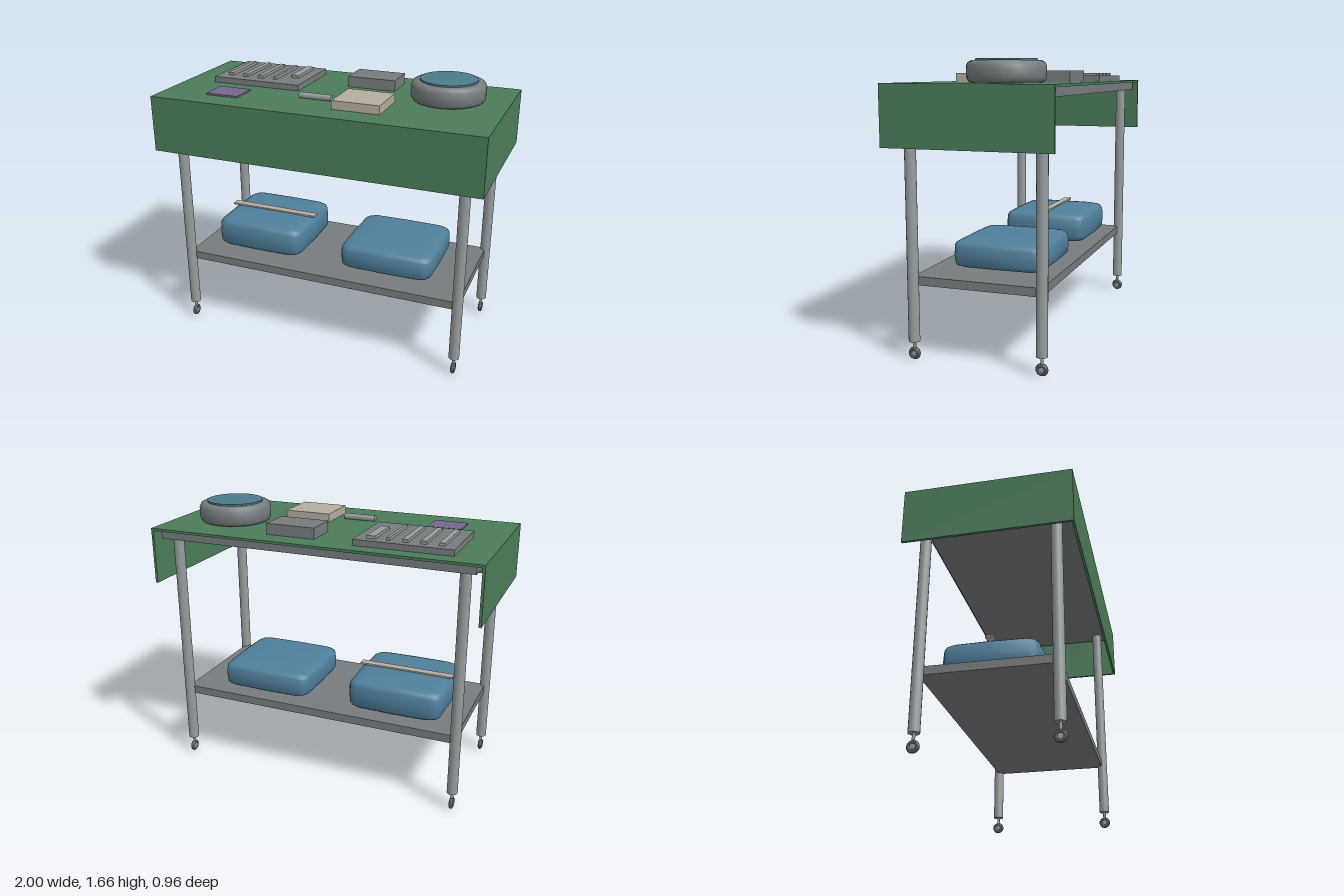
import * as THREE from 'three';
import { toCreasedNormals } from 'three/addons/utils/BufferGeometryUtils.js';

const mat = (color) => new THREE.MeshStandardMaterial({ color });
const GREEN = mat(0x4c7c58), STEEL = mat(0x969c9c), GREY = mat(0x777c7e), DARK = mat(0x505456);
const BLUE = mat(0x4f7f9b), TEAL = mat(0x4b7a8c), BEIGE = mat(0xb5ad9f), PURPLE = mat(0x75688a);

export function createModel() {
  const model = new THREE.Group();

  const add = (name, geometry, material, x = 0, y = 0, z = 0, parent = model) => {
    const mesh = new THREE.Mesh(geometry, material);
    mesh.name = name;
    mesh.position.set(x, y, z);
    parent.add(mesh);
    return mesh;
  };

  // Box given by its limits on each axis
  const slab = (name, material, x0, x1, y0, y1, z0, z1, parent) =>
    add(name, new THREE.BoxGeometry(x1 - x0, y1 - y0, z1 - z0), material,
      (x0 + x1) / 2, (y0 + y1) / 2, (z0 + z1) / 2, parent);

  // Sphere pushed out towards a box: a soft packed bag
  const cushion = (w, h, d) => {
    const g = new THREE.SphereGeometry(1, 16, 12);
    const p = g.attributes.position;
    const push = (v, e) => (Math.abs(v) < 1e-6 ? 0 : Math.sign(v) * Math.abs(v) ** e);
    for (let i = 0; i < p.count; i++) {
      const y = p.getY(i), r = Math.hypot(p.getX(i), p.getZ(i));
      const ring = push(r, 0.3);
      const cx = r > 1e-6 ? p.getX(i) / r : 0, cz = r > 1e-6 ? p.getZ(i) / r : 0;
      p.setXYZ(i, ring * push(cx, 0.25) * w / 2, push(y, 0.4) * h / 2, ring * push(cz, 0.25) * d / 2);
    }
    return toCreasedNormals(g, 0.7);
  };

  // Table top and cloth, hanging at the front and both sides, open at the back
  slab('tableTop', GREY, -0.95, 0.95, 1.462, 1.512, -0.45, 0.44);
  const cloth = new THREE.Group();
  cloth.name = 'tablecloth';
  model.add(cloth);
  slab('clothTop', GREEN, -1, 1, 1.512, 1.527, -0.481, 0.481, cloth);
  slab('clothFront', GREEN, -0.985, 0.985, 1.19, 1.512, 0.466, 0.481, cloth);
  for (const s of [-1, 1]) {
    add('clothSide', new THREE.BoxGeometry(0.015, 0.322, 0.962), GREEN, s * 0.9925, 1.351, 0, cloth);
  }

  // Lower shelf
  slab('shelf', GREY, -0.88, 0.88, 0.428, 0.477, -0.38, 0.365);

  // Legs on casters
  for (const x of [-0.88, 0.88]) for (const z of [-0.38, 0.367]) {
    const leg = new THREE.Group();
    leg.name = 'leg';
    leg.position.set(x, 0, z);
    model.add(leg);
    add('post', new THREE.CylinderGeometry(0.032, 0.032, 1.363, 16), STEEL, 0, 0.7885, 0, leg);
    add('casterStem', new THREE.CylinderGeometry(0.009, 0.009, 0.06, 10), STEEL, 0, 0.085, 0, leg);
    add('casterTyre', new THREE.TorusGeometry(0.024, 0.012, 8, 20), DARK, 0, 0.036, 0, leg).rotation.y = Math.PI / 2;
    add('casterHub', new THREE.CylinderGeometry(0.016, 0.016, 0.018, 10), STEEL, 0, 0.036, 0, leg).rotation.z = Math.PI / 2;
  }

  // Bags on the shelf, one with a strap
  add('bag', cushion(0.59, 0.199, 0.555), BLUE, -0.468, 0.5765, -0.034);
  add('bag', cushion(0.59, 0.168, 0.555), BLUE, 0.381, 0.561, -0.034);
  slab('bagStrap', BEIGE, -0.763, -0.173, 0.673, 0.684, -0.055, -0.005);

  // Tray of tools
  slab('tray', GREY, -0.813, -0.242, 1.527, 1.562, -0.385, 0.053);
  const tools = [[-0.733, 0.032, -0.016], [-0.631, 0.032, -0.016], [-0.529, 0.032, -0.016],
    [-0.432, 0.018, -0.016], [-0.333, 0.05, -0.1]];
  for (const [x, w, end] of tools) {
    slab('tool', STEEL, x - w / 2, x + w / 2, 1.56, 1.579, -0.337, end);
  }

  // Loose items on the cloth
  slab('purplePacket', PURPLE, -0.712, -0.51, 1.527, 1.537, 0.155, 0.325);
  slab('greyBox', GREY, 0, 0.3, 1.527, 1.592, -0.35, -0.153);
  slab('beigePack', BEIGE, 0.085, 0.37, 1.527, 1.578, 0.057, 0.325);
  add('tube', new THREE.CylinderGeometry(0.019, 0.019, 0.2, 12), STEEL, -0.07, 1.546, 0.182).rotation.z = Math.PI / 2;

  // Round bowl with filling
  const rim = [[0, 0], [0.19, 0], [0.207, 0.008], [0.217, 0.027], [0.217, 0.092],
    [0.207, 0.111], [0.19, 0.119], [0, 0.119]].map(([r, y]) => new THREE.Vector2(r, y));
  add('bowl', toCreasedNormals(new THREE.LatheGeometry(rim, 20), 0.7), GREY, 0.643, 1.527, -0.097);
  add('bowlFilling', new THREE.CylinderGeometry(0.168, 0.168, 0.016, 24), TEAL, 0.643, 1.648, -0.097);

  return model;
}
